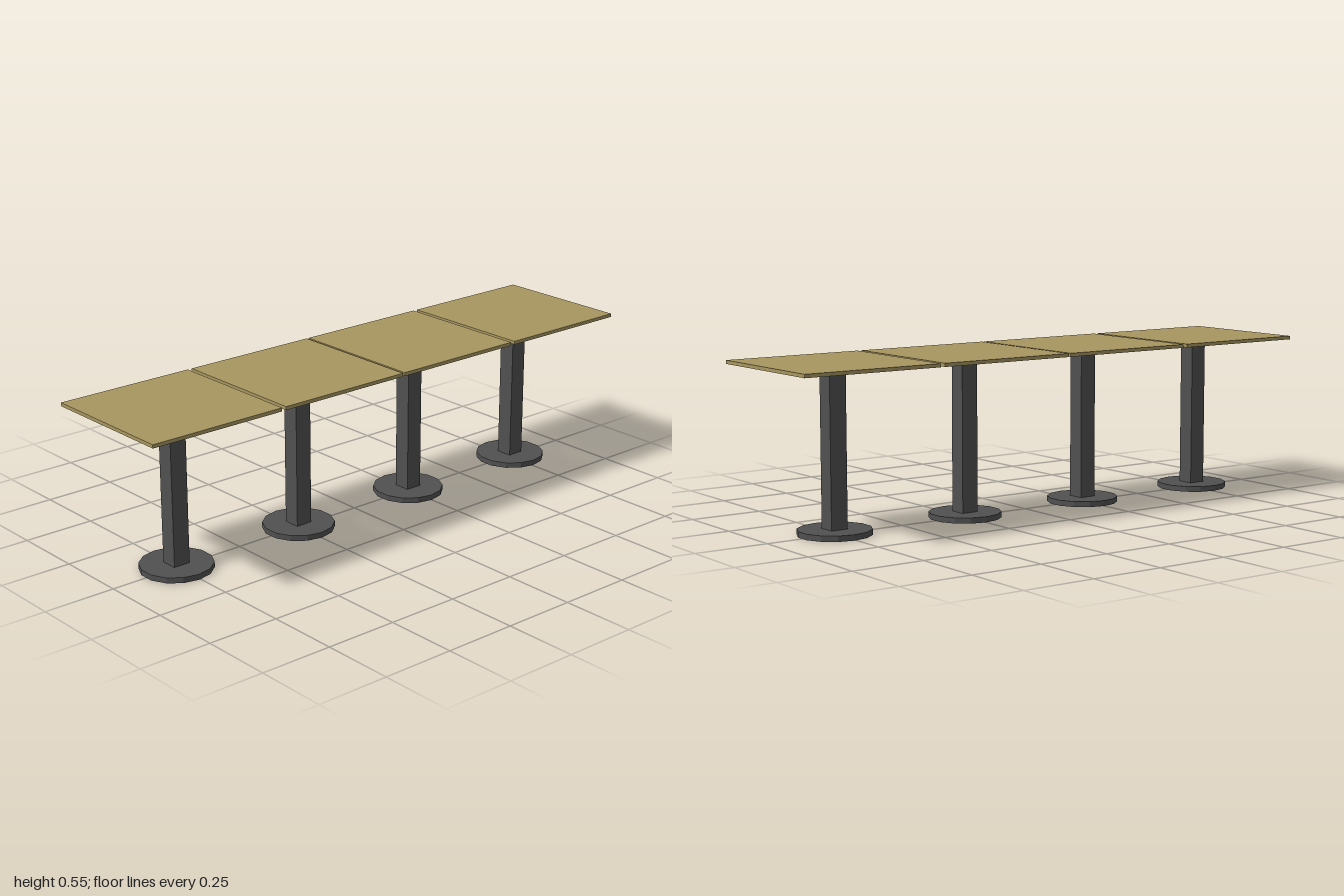
import * as THREE from 'three';

const wood = new THREE.MeshStandardMaterial({ color: 0xa89660, flatShading: true });
const metal = new THREE.MeshStandardMaterial({ color: 0x505050, flatShading: true });

function addPart(parent, name, geometry, material, y) {
  const mesh = new THREE.Mesh(geometry, material);
  mesh.name = name;
  mesh.position.y = y;
  parent.add(mesh);
}

// One pedestal table: square top, square column, low-poly round foot
function createTable() {
  const table = new THREE.Group();
  const foot = new THREE.CylinderGeometry(0.122, 0.122, 0.019, 14).rotateY(Math.PI / 2);
  addPart(table, 'base', foot, metal, 0.0095);
  addPart(table, 'column', new THREE.BoxGeometry(0.06, 0.522, 0.06), metal, 0.28);
  addPart(table, 'tableTop', new THREE.BoxGeometry(0.49, 0.012, 0.49), wood, 0.547);
  return table;
}

export function createModel() {
  const model = new THREE.Group();
  model.name = 'tableRow';
  // Four tables in a row, with a wider gap beside each end table
  [0.755, 0.249, -0.249, -0.755].forEach((z, i) => {
    const table = createTable();
    table.name = `table${i + 1}`;
    table.position.z = z;
    model.add(table);
  });
  return model;
}
